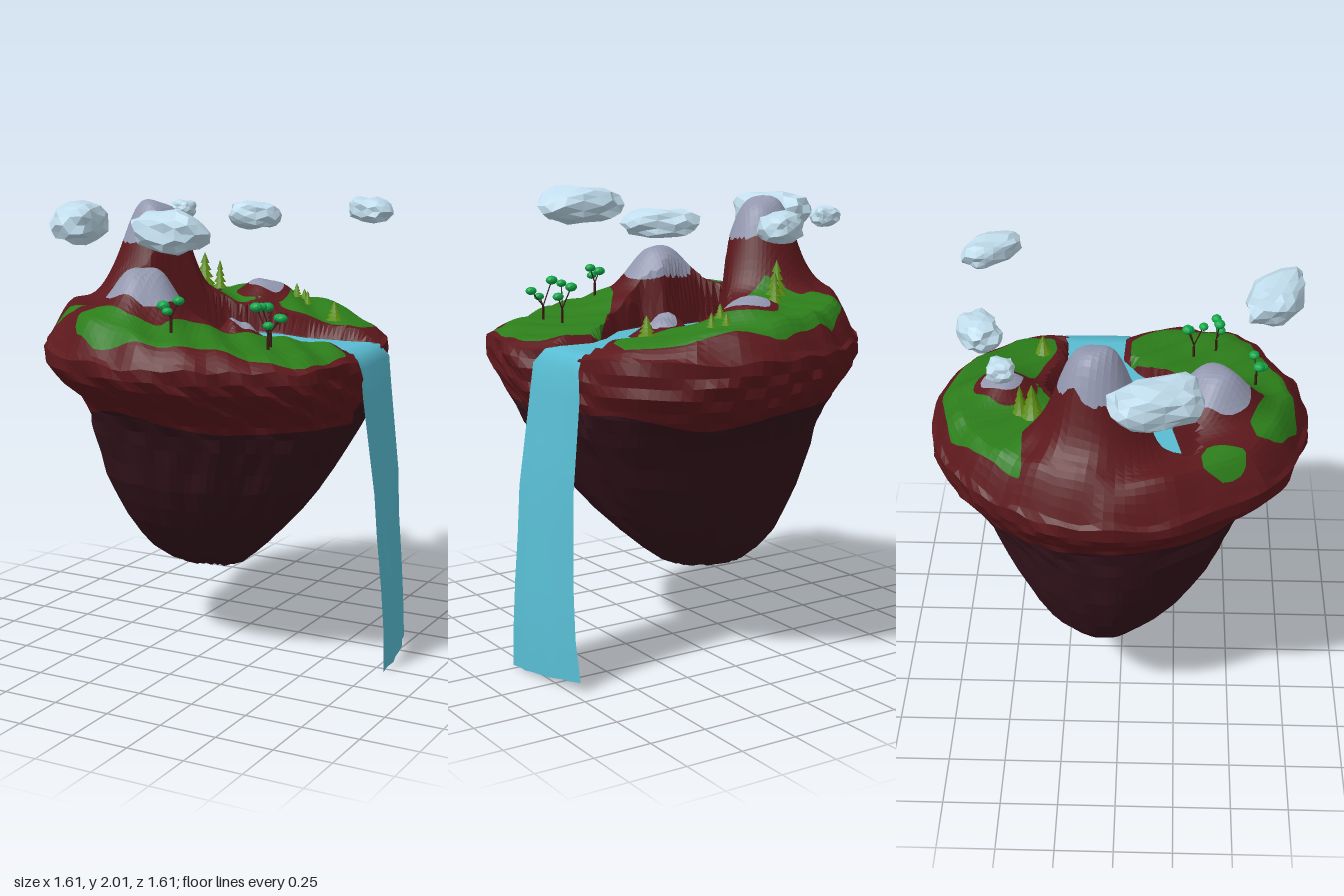
import * as THREE from 'three';

const mat = (color, extra = {}) => new THREE.MeshStandardMaterial({ color, flatShading: true, ...extra });
const M = {
  rock: mat(0x5c181c), under: mat(0x34141c), grass: mat(0x2c7d1a), stone: mat(0x9398b0),
  water: mat(0x58bcd2, { side: THREE.DoubleSide, flatShading: false }), cloud: mat(0xc0dcec),
  pine: mat(0x5a8a10), leaf: mat(0x10a84a), trunk: mat(0x3a1c12),
};

// Plan outlines as [x, z]
const OUTLINE = [[0, -.81], [-.28, -.77], [-.54, -.61], [-.74, -.33], [-.81, -.04], [-.76, .24], [-.65, .43], [-.54, .6],
  [-.33, .73], [-.02, .8], [.13, .78], [.28, .75], [.38, .68], [.54, .61], [.65, .52], [.67, .37], [.7, .28], [.69, .12],
  [.62, .01], [.6, -.13], [.63, -.28], [.55, -.5], [.35, -.7], [.17, -.78]];
const LAKE = [[-.47, .28], [-.46, .2], [-.3, .11], [-.21, -.04], [-.11, -.22], [.02, -.3], [.13, -.3], [.28, -.25],
  [.46, -.26], [.8, -.27], [.8, .02], [.41, 0], [.3, .07], [.15, .22], [-.02, .28], [-.11, .22], [-.33, .27]];
const MEADOWS = [
  [[.35, .03], [.5, .03], [.61, .09], [.66, .17], [.65, .37], [.63, .5], [.52, .57], [.28, .63], [.14, .7], [-.02, .73],
    [-.2, .74], [-.35, .66], [-.39, .56], [-.32, .53], [-.13, .6], [0, .56], [.05, .42], [.15, .28], [.27, .13]],
  [[-.59, .34], [-.52, .33], [-.46, .36], [-.46, .51], [-.54, .51], [-.6, .43]],
  [[-.64, -.38], [-.58, -.46], [-.48, -.57], [-.33, -.7], [-.02, -.77], [.13, -.7], [.33, -.63], [.52, -.46], [.5, -.32],
    [.4, -.3], [.15, -.36], [.04, -.39], [-.1, -.29], [-.3, -.27], [-.41, -.39]],
];
// Peaks: x, z, height, half-height radius, stone cap radius, steepness, lowest stone
const PEAKS = [[-.405, -.095, .465, .17, .15, 4, 1.79], [-.17, .39, .26, .155, .16, 2.9, 1.59], [-.05, -.5, .095, .12, .09, 3.2, 1.5]];
const ISLET = [.05, -.01, .14, .12, .06, 2.6];

const smooth = THREE.MathUtils.smoothstep, lerp = THREE.MathUtils.lerp;
const noise = (x, y, z) => (Math.sin(x * 13 + y * 7 + 1) * Math.sin(z * 15 - y * 9 + 2) + Math.sin(x * 29 - z * 23 + y * 31)) / 2;

// Signed distance to a polygon, positive inside
function inside(poly, x, z) {
  let d = Infinity, within = false;
  poly.forEach(([ax, az], i) => {
    const [bx, bz] = poly[(i + 1) % poly.length], ex = bx - ax, ez = bz - az;
    const t = THREE.MathUtils.clamp(((x - ax) * ex + (z - az) * ez) / (ex * ex + ez * ez), 0, 1);
    d = Math.min(d, Math.hypot(x - ax - ex * t, z - az - ez * t));
    if ((az > z) !== (bz > z) && x < ax + ex * (z - az) / ez) within = !within;
  });
  return within ? d : -d;
}

const peak = ([px, pz, h, r, , n], x, z) => h / (1 + (Math.hypot(x - px, z - pz) / r) ** n);

// Ground height: rounded rim, peaks, lake bed with sloping banks, islet
function ground(x, z) {
  let y = 1.45 - .09 * x + (z < 0 ? -.08 : .03) * z + .014 * noise(x, 0, z);
  for (const p of PEAKS) y += peak(p, x, z);
  const edge = Math.max(0, inside(OUTLINE, x, z));
  y = lerp(1.37 + .015 * noise(x, 1, z), y, Math.sqrt(smooth(edge, -.005, .11)));
  const lake = inside(LAKE, x, z), out = Math.max(0, -lake);
  y = Math.min(y, Math.max(1.33, 1.385 - 2.2 * Math.max(0, lake) + 4 * out + 55 * out * out));
  return y + peak(ISLET, x, z) * smooth(lake, 0, .06) * (1 + .12 * noise(x * 2, 0, z * 2));
}

// Surface vertex, pulled onto the shoreline when close, with the fields
// that pick its material: underside, stone cap, grass
function topVertex(x, z) {
  const d = inside(LAKE, x, z), e = 1e-4;
  if (Math.abs(d) < .013) {
    const gx = (inside(LAKE, x + e, z) - d) / e, gz = (inside(LAKE, x, z + e) - d) / e;
    x -= d * gx;
    z -= d * gz;
  }
  const y = ground(x, z), wobble = .02 * noise(x, .5, z);
  const cap = Math.max(...PEAKS.map(p => Math.min(p[4] + wobble - Math.hypot(x - p[0], z - p[1]), y - p[6])),
    .06 - Math.hypot(x - .07, z + .035));
  const ring = Math.hypot(x + .05, z + .49) - .13 - wobble;
  const grass = Math.min(ring, Math.max(...MEADOWS.map(m => inside(m, x, z))));
  return [x, y, z, -1, cap, grass];
}

// Cut a convex polygon where field k changes sign
function split(poly, k) {
  const yes = [], no = [];
  poly.forEach((a, i) => {
    const b = poly[(i + 1) % poly.length];
    (a[k] > 0 ? yes : no).push(a);
    if ((a[k] > 0) !== (b[k] > 0)) {
      const t = a[k] / (a[k] - b[k]), c = a.map((v, n) => lerp(v, b[n], t));
      yes.push(c); no.push(c);
    }
  });
  return [yes, no];
}

function island(group) {
  const N = 110, ROWS = 40, CX = -.1;
  const rim = new THREE.CatmullRomCurve3(OUTLINE.map(([x, z]) => new THREE.Vector3(x, 0, z)), true).getSpacedPoints(N);
  const rows = [];
  for (let j = 0; j <= ROWS; j++) {
    const t = j / ROWS;
    rows.push(rim.map(p => topVertex(CX + (p.x - CX) * t, p.z * t)));
  }
  // Body rings: y, min x, max x, min z, max z
  const levels = [[1.325, -.805, .715, -.805, .795], [1.28, -.78, .715, -.8, .77], [1.23, -.74, .705, -.785, .72], [1.18, -.69, .69, -.76, .665],
    [1.13, -.665, .66, -.72, .62], [1.07, -.65, .64, -.67, .58], [1, -.64, .61, -.61, .545], [.9, -.615, .54, -.57, .5], [.8, -.59, .48, -.53, .46],
    [.7, -.555, .41, -.48, .4], [.6, -.51, .33, -.43, .33], [.5, -.455, .23, -.37, .24], [.43, -.4, .15, -.3, .17],
    [.38, -.33, .08, -.24, .09], [.357, -.26, .02, -.17, .03], [.345, -.13, -.13, -.08, -.08]];
  levels.forEach(([y, x0, x1, z0, z1]) => rows.push(rim.map(p => {
    const x = lerp(x0, x1, (p.x + .81) / 1.52), z = lerp(z0, z1, (p.z + .81) / 1.61);
    const k = y < .35 ? 0 : .024 * noise(p.x, y * 1.8, p.z), cy = y + k * .4;
    return [x + (x - CX) * k, cy, z + z * k, 1.12 + .03 * Math.sin(p.x * 6 + p.z * 4) - cy, -1, -1];
  })));

  const parts = { underside: [], stoneCaps: [], grass: [], redRock: [] };
  const names = ['underside', 'stoneCaps', 'grass'];
  const emit = (name, poly) => {
    for (let i = 2; i < poly.length; i++) for (const v of [poly[0], poly[i - 1], poly[i]]) parts[name].push(v[0], v[1], v[2]);
  };
  for (let j = 0; j + 1 < rows.length; j++) for (let i = 0; i < N; i++) {
    const a = rows[j][i], b = rows[j + 1][i], c = rows[j + 1][i + 1], d = rows[j][i + 1];
    for (let poly of [[a, b, c], j ? [a, c, d] : []]) {
      names.forEach((name, k) => {
        const [yes, no] = split(poly, 3 + k);
        emit(name, yes);
        poly = no;
      });
      emit('redRock', poly);
    }
  }
  const mats = { underside: M.under, stoneCaps: M.stone, grass: M.grass, redRock: M.rock };
  for (const name in parts) {
    const g = new THREE.BufferGeometry();
    g.setAttribute('position', new THREE.Float32BufferAttribute(parts[name], 3));
    g.computeVertexNormals();
    add(group, name, g, mats[name]);
  }
}

function add(group, name, geometry, material, x = 0, y = 0, z = 0) {
  const mesh = new THREE.Mesh(geometry, material);
  mesh.name = name;
  mesh.position.set(x, y, z);
  group.add(mesh);
  return mesh;
}

function water(group) {
  const shape = new THREE.Shape(LAKE.map(([x, z]) => new THREE.Vector2(Math.min(x, .57), -z)));
  add(group, 'lake', new THREE.ShapeGeometry(shape).rotateX(-Math.PI / 2), M.water, 0, 1.38, 0);
  // Falling sheet: x, y, back z, front z
  const path = [[.56, 1.381, -.27, .01], [.62, 1.375, -.275, .02], [.66, 1.32, -.305, .045], [.67, 1.2, -.32, .05], [.695, 1, -.325, .05],
    [.72, .8, -.33, .05], [.73, .6, -.335, .045], [.745, .4, -.35, .04], [.755, .2, -.37, .035], [.755, .02, -.4, .035]];
  const n = path.length - 1, g = new THREE.PlaneGeometry(1, 1, 8, n), p = g.attributes.position;
  for (let i = 0; i < p.count; i++) {
    const s = p.getX(i) + .5, k = Math.round((.5 - p.getY(i)) * n), [x, y, z0, z1] = path[k], w = k / n;
    p.setXYZ(i, x + (s - .5) * .085 * w + .025 * w * Math.sin(s * Math.PI) + .005 * w * Math.sin(s * 19),
      y + (.5 - s) * .04 * w, lerp(z0, z1, s));
  }
  g.computeVertexNormals();
  add(group, 'waterfall', g, M.water);
}

// Faceted lumpy cloud: centre, radii, turn about y
function cloud(group, x, y, z, rx, ry, rz, turn) {
  const g = new THREE.IcosahedronGeometry(1, 2), p = g.attributes.position, v = new THREE.Vector3();
  const fill = a => Math.sign(a) * Math.abs(a) ** .8;
  for (let i = 0; i < p.count; i++) {
    v.fromBufferAttribute(p, i);
    const k = .95 + .16 * noise(v.x * .25 + x, v.y * .2, v.z * .2 + z);
    p.setXYZ(i, fill(v.x) * rx * k, fill(v.y) * ry * k, fill(v.z) * rz * k);
  }
  g.computeVertexNormals();
  add(group, 'cloud', g, M.cloud, x, y, z).rotation.y = turn;
}

function pine(group, x, z, r, h) {
  const t = new THREE.Group();
  t.name = 'pineTree';
  t.position.set(x, ground(x, z) - .01, z);
  add(t, 'trunk', new THREE.CylinderGeometry(r * .15, r * .2, h * .3, 6), M.trunk, 0, h * .15, 0);
  for (let i = 0; i < 4; i++) add(t, 'needles', new THREE.ConeGeometry(r * (1 - i * .19), h * .3, 9), M.pine, 0, h * (.28 + i * .19), 0);
  group.add(t);
}

function leafyTree(group, x, z, tips) {
  const t = new THREE.Group();
  t.name = 'leafyTree';
  t.position.set(x, ground(x, z) - .01, z);
  const fork = new THREE.Vector3(0, .07, 0);
  const limb = (a, b, r) => add(t, 'branch', new THREE.TubeGeometry(new THREE.LineCurve3(a, b), 1, r, 5), M.trunk);
  limb(new THREE.Vector3(), fork, .006);
  tips.forEach(([tx, ty, tz], i) => {
    limb(fork, new THREE.Vector3(tx, ty, tz), .003);
    add(t, 'leaves', new THREE.IcosahedronGeometry(.025 - .002 * i, 1).scale(1.1, .8, 1), M.leaf, tx, ty, tz);
  });
  group.add(t);
}

export function createModel() {
  const group = new THREE.Group();
  group.name = 'floatingIsland';
  island(group);
  water(group);
  for (const c of [[-.155, 1.885, -.575, .125, .068, .085, .55], [-.475, 1.91, -.457, .065, .045, .06, 0],
    [.43, 1.93, -.575, .155, .06, .085, -.7], [-.65, 1.885, .15, .205, .095, .12, -1.25],
    [.095, 1.915, .64, .195, .088, .11, -.35]]) cloud(group, ...c);
  for (const p of [[-.3, -.356, .048, .17], [-.25, -.41, .034, .15], [.36, -.36, .038, .1],
    [.1, -.51, .024, .07], [.15, -.52, .022, .07], [.11, -.57, .022, .06]]) pine(group, ...p);
  leafyTree(group, .38, .31, [[-.03, .17, -.03], [.03, .13, -.02], [-.02, .18, .04]]);
  leafyTree(group, .42, .41, [[-.05, .18, .01], [.06, .14, 0], [.01, .11, .02]]);
  leafyTree(group, .06, .57, [[-.03, .12, .01], [.03, .14, -.01], [0, .1, .03]]);
  return group;
}
